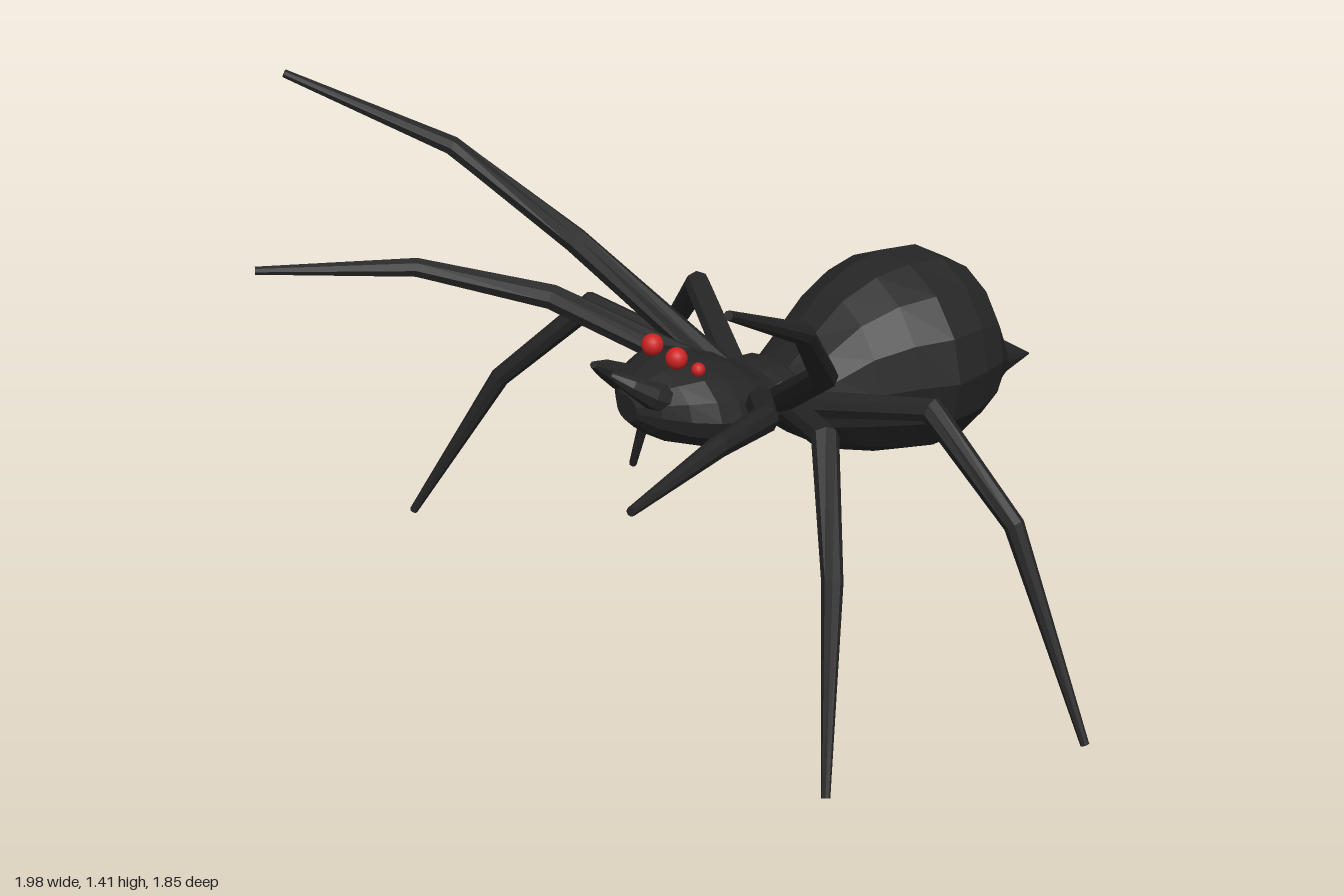
import * as THREE from 'three';

const MID = 0.013; // the body sits slightly off the middle of the leg span
const black = new THREE.MeshStandardMaterial({ color: 0x262626, flatShading: true });
const red = new THREE.MeshStandardMaterial({ color: 0xcc2222 });

// Skin a list of equal rings (counter-clockwise about the direction of travel), with end caps
function skin(rings) {
  const n = rings[0].length, last = (rings.length - 1) * n, index = [];
  for (let i = 0; i < rings.length - 1; i++) {
    for (let j = 0; j < n; j++) {
      const a = i * n + j, b = i * n + (j + 1) % n;
      index.push(a, b, b + n, a, b + n, a + n);
    }
  }
  for (let j = 1; j < n - 1; j++) index.push(0, j + 1, j, last, last + j, last + j + 1);
  const geo = new THREE.BufferGeometry().setFromPoints(rings.flat());
  geo.setIndex(index);
  geo.computeVertexNormals();
  return geo;
}

// Body section: rows of [z, bottom y, top y, half width], running towards +z
function loft(rows, sides) {
  return skin(rows.map(([z, y0, y1, w]) => Array.from({ length: sides }, (_, j) => {
    const t = j / sides * Math.PI * 2;
    return new THREE.Vector3(MID + w * Math.cos(t), (y0 + y1) / 2 + (y1 - y0) / 2 * Math.sin(t), z);
  })));
}

// Jointed limb: tapered tube through points, mitred at the joints
function limb(points, radii, sides) {
  const p = points.map(a => new THREE.Vector3(...a));
  return skin(p.map((c, i) => {
    const t = p[Math.min(i + 1, p.length - 1)].clone().sub(c).normalize()
      .add(c.clone().sub(p[Math.max(i - 1, 0)]).normalize()).normalize();
    const u = new THREE.Vector3(0, 1, 0).cross(t).normalize();
    const v = t.clone().cross(u);
    return Array.from({ length: sides }, (_, j) => {
      const a = j / sides * Math.PI * 2;
      return c.clone().addScaledVector(u, Math.cos(a) * radii[i]).addScaledVector(v, Math.sin(a) * radii[i]);
    });
  }));
}

export function createModel() {
  const model = new THREE.Group();
  const add = (name, geo, mat = black) => {
    const mesh = new THREE.Mesh(geo, mat);
    mesh.name = name;
    model.add(mesh);
    return mesh;
  };

  // Abdomen with pointed tail
  add('abdomen', loft([
    [-0.92, 0.552, 0.558, 0.003],
    [-0.79, 0.53, 0.645, 0.075],
    [-0.74, 0.5, 0.75, 0.12],
    [-0.66, 0.455, 0.885, 0.205],
    [-0.57, 0.423, 0.937, 0.25],
    [-0.46, 0.42, 0.945, 0.277],
    [-0.36, 0.435, 0.93, 0.24],
    [-0.26, 0.465, 0.885, 0.2],
    [-0.17, 0.51, 0.805, 0.165],
    [-0.1, 0.555, 0.735, 0.14],
    [-0.03, 0.61, 0.73, 0.13],
  ], 14));

  // Raised band at the waist
  add('waist', loft([
    [-0.1, 0.62, 0.735, 0.135],
    [-0.08, 0.61, 0.752, 0.15],
    [-0.035, 0.62, 0.752, 0.152],
    [0.0, 0.64, 0.735, 0.14],
  ], 14));

  // Head and thorax
  add('thorax', loft([
    [-0.04, 0.65, 0.735, 0.14],
    [0.02, 0.62, 0.76, 0.17],
    [0.08, 0.605, 0.8, 0.185],
    [0.16, 0.607, 0.83, 0.205],
    [0.22, 0.615, 0.84, 0.2],
    [0.28, 0.635, 0.828, 0.16],
    [0.33, 0.665, 0.805, 0.105],
    [0.365, 0.7, 0.77, 0.045],
  ], 14));

  // Legs: right-hand rule points, then the centre line each pair mirrors about at the tip
  const legs = [
    ['backLeg', -0.005, [[0.1, 0.67, -0.05], [0.495, 0.755, -0.205], [0.735, 0.52, -0.275], [0.98, 0.012, -0.315]]],
    ['middleLeg', -0.012, [[0.1, 0.67, -0.05], [0.505, 0.77, 0.12], [0.73, 0.52, 0.265], [0.93, 0.095, 0.43]]],
    ['raisedLeg', 0.015, [[0.1, 0.69, -0.01], [0.53, 0.96, 0.165], [0.75, 1.2, 0.39], [0.962, 1.405, 0.745]]],
    ['frontLeg', 0.015, [[0.1, 0.71, 0.04], [0.46, 0.855, 0.285], [0.66, 0.935, 0.56], [0.845, 0.95, 0.92]]],
  ];
  for (const [name, mid, path] of legs) {
    for (const s of [1, -1]) {
      const points = path.map(([x, y, z]) => [mid + s * x, y, z]);
      add((s > 0 ? 'left ' : 'right ') + name, limb(points, [0.038, 0.034, 0.026, 0.011], 8));
    }
  }

  for (const s of [1, -1]) {
    const side = s > 0 ? 'left ' : 'right ';
    // Upturned jaws
    add(side + 'jaw', limb([
      [MID + s * 0.075, 0.75, 0.27], [MID + s * 0.072, 0.79, 0.34],
      [MID + s * 0.06, 0.825, 0.39], [MID + s * 0.038, 0.855, 0.435],
    ], [0.04, 0.034, 0.024, 0.009], 8));
    // Eyes: one large and one small on each side
    add(side + 'largeEye', new THREE.SphereGeometry(0.028, 14, 10), red)
      .position.set(MID + s * 0.052, 0.857, 0.252);
    add(side + 'smallEye', new THREE.SphereGeometry(0.018, 12, 8), red)
      .position.set(MID + s * 0.094, 0.833, 0.217);
  }
  return model;
}
